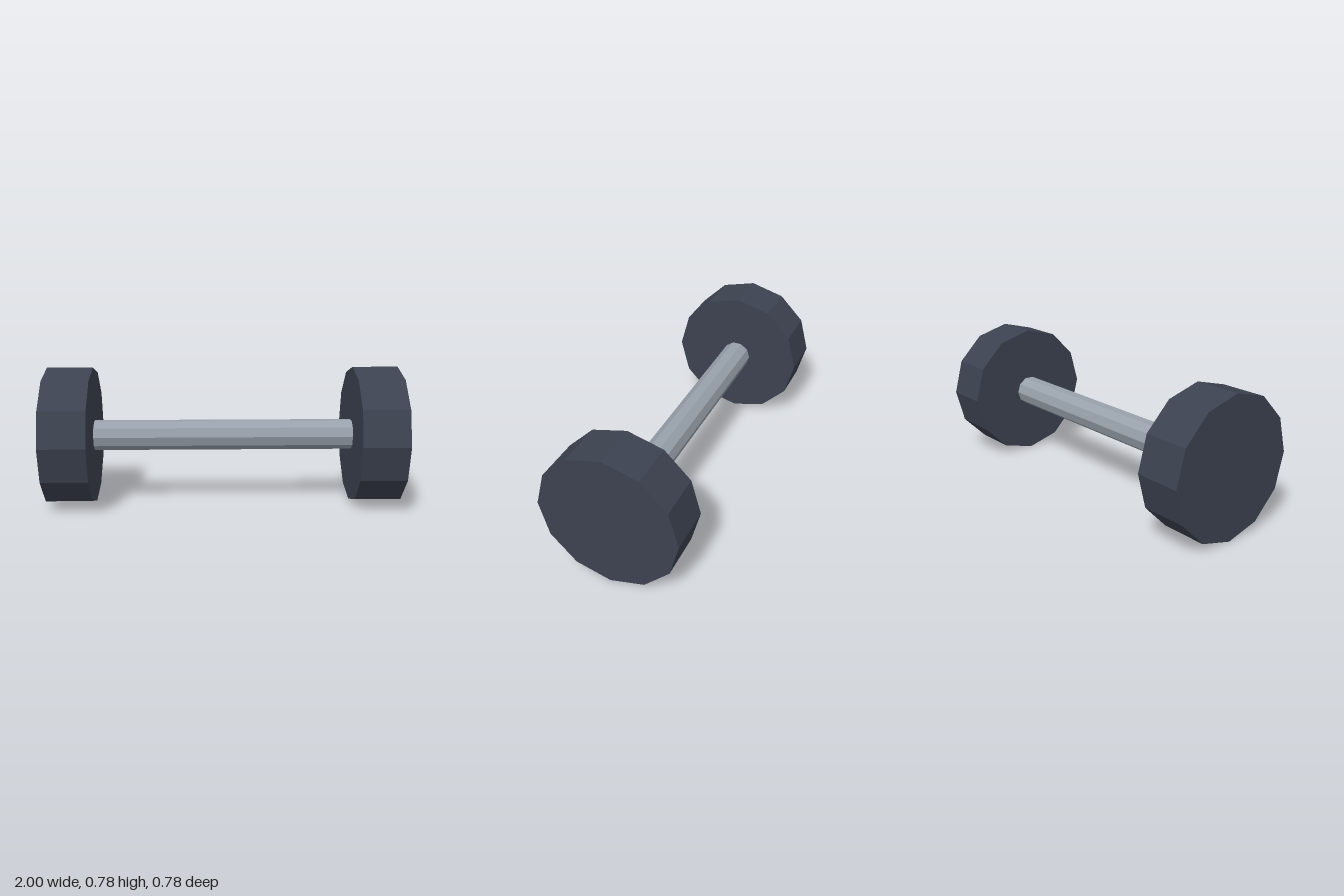
import * as THREE from 'three';

export function createModel() {
  const model = new THREE.Group();
  model.name = 'dumbbell';

  const darkIron = new THREE.MeshStandardMaterial({ name: 'darkIron', color: 0x3c4250, flatShading: true });
  const steel = new THREE.MeshStandardMaterial({ name: 'steel', color: 0x98a1ab, flatShading: true });

  const plateRadius = 0.391, plateWidth = 0.26, barRadius = 0.087;

  // A faceted cylinder lying along x, at the height of the plate centres
  function addCylinder(name, radius, length, sides, x, material) {
    const geometry = new THREE.CylinderGeometry(radius, radius, length, sides);
    geometry.rotateZ(Math.PI / 2);
    const mesh = new THREE.Mesh(geometry, material);
    mesh.name = name;
    mesh.position.set(x, plateRadius, 0);
    model.add(mesh);
  }

  // Grip bar, its ends set slightly into the weights
  addCylinder('gripBar', barRadius, 1.5, 10, 0, steel);

  // Twelve-sided weights at both ends
  for (const [name, side] of [['leftWeight', 1], ['rightWeight', -1]]) {
    addCylinder(name, plateRadius, plateWidth, 12, side * (1 - plateWidth / 2), darkIron);
  }

  return model;
}
